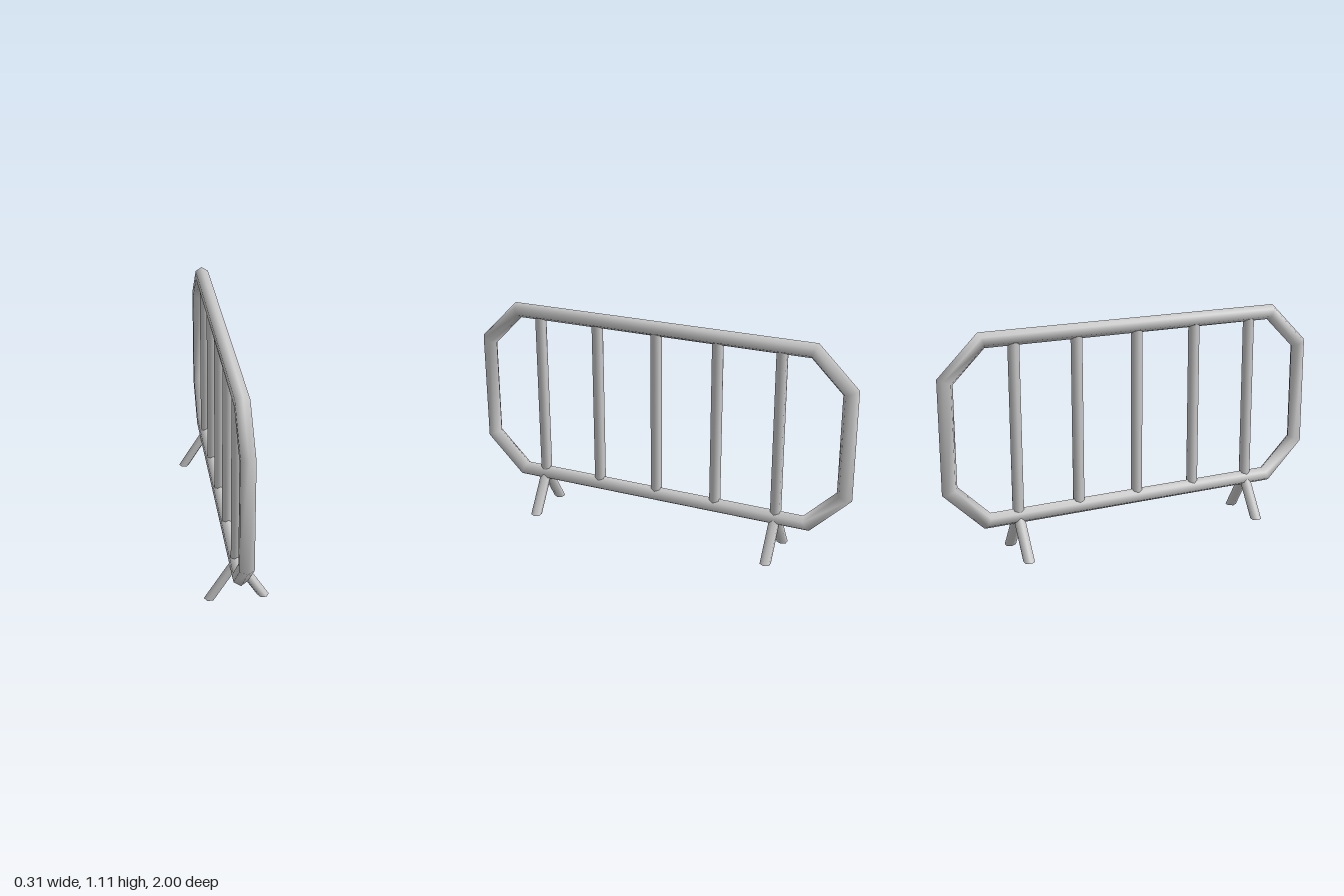
import * as THREE from 'three';

const material = new THREE.MeshStandardMaterial({ color: 0xcccccc });
const SIDES = 6;

// Closed hexagonal tube with mitred corners; path is [z, y], counterclockwise
function mitredLoop(path, radius) {
  const n = path.length, positions = [], index = [];
  const pts = path.map(([z, y]) => new THREE.Vector2(z, y));
  const normal = (a, b) => new THREE.Vector2(b.y - a.y, a.x - b.x).normalize();
  pts.forEach((p, i) => {
    const n1 = normal(pts[(i + n - 1) % n], p), n2 = normal(p, pts[(i + 1) % n]);
    const mitre = n1.clone().add(n2).divideScalar(1 + n1.dot(n2));
    for (let j = 0; j < SIDES; j++) {
      const a = (j / SIDES) * Math.PI * 2, out = radius * Math.cos(a);
      positions.push(radius * Math.sin(a), p.y + mitre.y * out, p.x + mitre.x * out);
      const k = (j + 1) % SIDES, r0 = i * SIDES, r1 = ((i + 1) % n) * SIDES;
      index.push(r0 + j, r0 + k, r1 + k, r0 + j, r1 + k, r1 + j);
    }
  });
  const geometry = new THREE.BufferGeometry();
  geometry.setAttribute('position', new THREE.Float32BufferAttribute(positions, 3));
  geometry.setIndex(index);
  geometry.computeVertexNormals();
  return geometry;
}

// Hexagonal bar from y0 to y1 with level ends, sheared sideways by slope
function bar(y0, y1, slope = 0) {
  const geometry = new THREE.CylinderGeometry(0.028, 0.028, y1 - y0, SIDES, 1, false, Math.PI / 2);
  geometry.translate(0, (y0 + y1) / 2, 0);
  const shear = new THREE.Matrix4().set(1, slope, 0, 0, 0, 1, 0, 0, 0, 0, 1, 0, 0, 0, 0, 1);
  return geometry.applyMatrix4(shear);
}

export function createModel() {
  const group = new THREE.Group();
  const add = (name, geometry, x = 0, z = 0) => {
    const mesh = new THREE.Mesh(geometry, material);
    mesh.name = name;
    mesh.position.set(x, 0, z);
    group.add(mesh);
  };

  // Outer frame with cut corners
  const side = [[0.782, 0.194], [0.962, 0.371], [0.962, 0.895], [0.782, 1.072]];
  const far = side.map(([z, y]) => [-z, y]).reverse();
  add('frame', mitredLoop([...side, ...far], 0.038));

  // Upright bars
  for (let i = 0; i < 5; i++) add('upright' + (i + 1), bar(0.2, 1.06), 0, 0.655 - i * 0.32);

  // Splayed feet under the first and last uprights
  for (const [end, z] of [['front', 0.655], ['back', -0.625]]) {
    for (const [name, s] of [['Left', 1], ['Right', -1]]) {
      add(end + name + 'Foot', bar(0, 0.2, -0.63 * s), 0.126 * s, z);
    }
  }
  return group;
}
